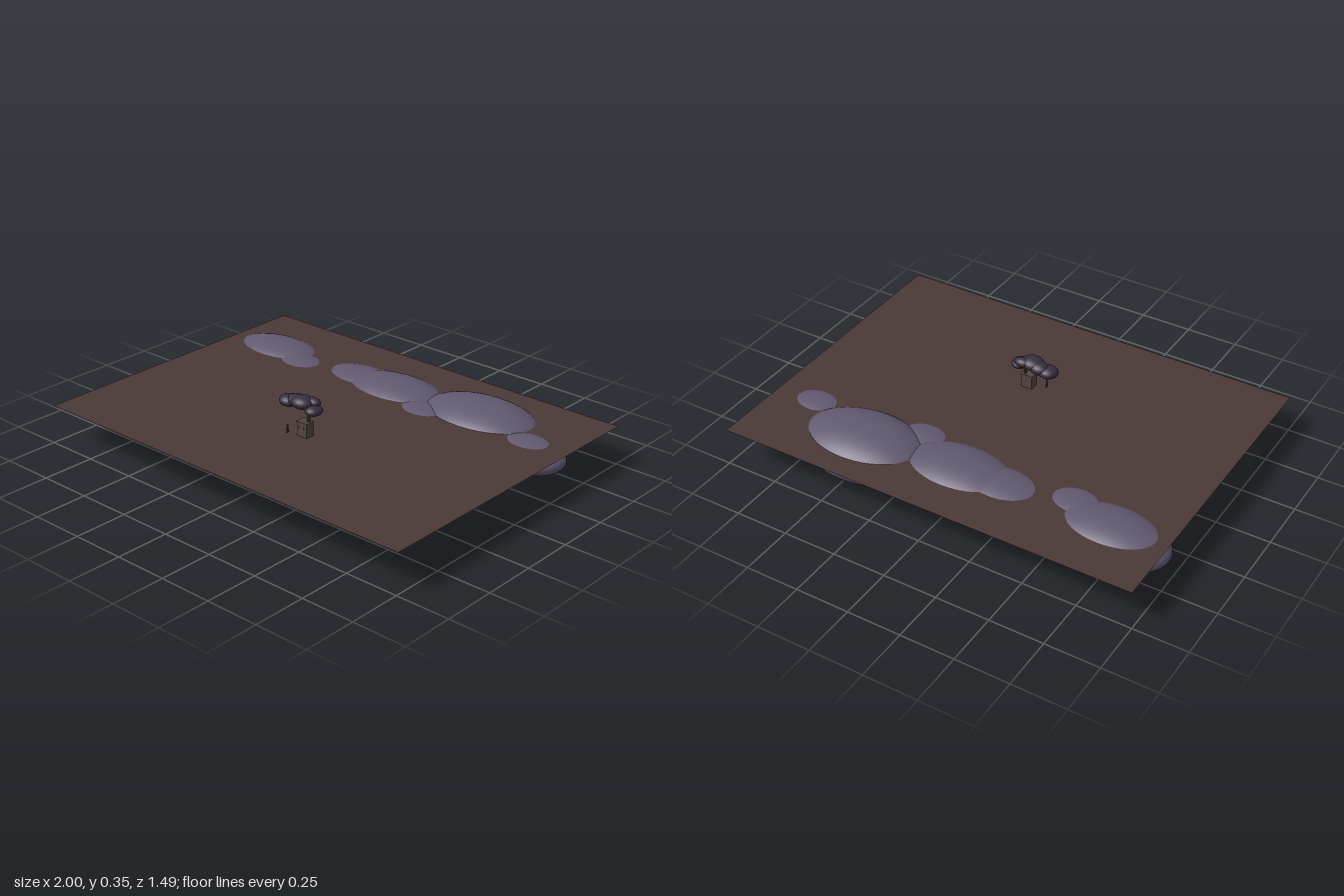
import * as THREE from 'three';

const flat = (name, color, side = THREE.FrontSide) => {
  const m = new THREE.MeshStandardMaterial({ color, side });
  m.name = name;
  return m;
};

export function createModel() {
  const model = new THREE.Group();
  model.name = 'landscape';
  const earth = flat('brown earth', 0x4a3a38, THREE.DoubleSide);
  const haze = flat('purple haze', 0x625970);
  const leaf = flat('dark foliage', 0x352e40);
  const bark = flat('dark bark', 0x30272a);
  const stone = flat('brown stone', 0x54463f);

  const add = (parent, name, geometry, material, x, y, z) => {
    const mesh = new THREE.Mesh(geometry, material);
    mesh.name = name;
    mesh.position.set(x, y, z);
    parent.add(mesh);
    return mesh;
  };
  const group = (name) => {
    const g = new THREE.Group();
    g.name = name;
    model.add(g);
    return g;
  };
  const rod = (parent, name, a, b, r0, r1, material) => {
    const from = new THREE.Vector3(...a), to = new THREE.Vector3(...b);
    const dir = to.clone().sub(from);
    const mesh = add(parent, name, new THREE.CylinderGeometry(r1, r0, dir.length(), 8), material,
      ...from.add(to).multiplyScalar(0.5).toArray());
    mesh.quaternion.setFromUnitVectors(new THREE.Vector3(0, 1, 0), dir.normalize());
  };
  // Rows of blobs: centre x, y, z, then radii x, y, z
  const blobs = (parent, name, rows, material, seg) => {
    const ball = new THREE.SphereGeometry(1, seg, seg / 2);
    for (const [x, y, z, rx, ry, rz] of rows) {
      add(parent, name, ball, material, x, y, z).scale.set(rx, ry, rz);
    }
  };

  // Ground sheet
  const sheet = new THREE.PlaneGeometry(1.99, 1.49);
  sheet.rotateX(-Math.PI / 2);
  add(model, 'ground', sheet, earth, 0.003, 0.183, -0.003);

  // Long bank of rounded hills, cut by the ground
  blobs(group('hills'), 'hill', [
    [-0.73, 0.122, -0.437, 0.27, 0.093, 0.165],
    [-0.53, 0.122, -0.375, 0.183, 0.073, 0.138],
    [-0.21, 0.122, -0.437, 0.235, 0.081, 0.155],
    [0.0, 0.121, -0.435, 0.3, 0.1, 0.184],
    [0.465, 0.12, -0.465, 0.32, 0.118, 0.21],
    [0.245, 0.122, -0.33, 0.182, 0.073, 0.135],
    [0.793, 0.122, -0.367, 0.182, 0.072, 0.132],
  ], haze, 48);

  // Stone plinth with a thin lip and dark panels
  const plinth = group('plinth');
  add(plinth, 'plinthBlock', new THREE.BoxGeometry(0.056, 0.068, 0.044), stone, 0.05, 0.215, 0.222);
  add(plinth, 'plinthLip', new THREE.BoxGeometry(0.06, 0.004, 0.048), stone, 0.05, 0.249, 0.222);
  for (const x of [0.037, 0.063]) {
    add(plinth, 'panel', new THREE.BoxGeometry(0.008, 0.012, 0.002), bark, x, 0.225, 0.2445);
  }

  // Trunk, branches and crown
  const tree = group('tree');
  rod(tree, 'trunk', [0.064, 0.248, 0.216], [0.064, 0.3, 0.212], 0.008, 0.006, bark);
  rod(tree, 'branch', [0.064, 0.285, 0.213], [0.02, 0.315, 0.205], 0.005, 0.004, bark);
  rod(tree, 'branch', [0.064, 0.29, 0.213], [0.085, 0.31, 0.2], 0.005, 0.004, bark);
  blobs(tree, 'crown', [
    [-0.062, 0.309, 0.201, 0.046, 0.027, 0.044],
    [-0.02, 0.318, 0.195, 0.05, 0.028, 0.04],
    [0.02, 0.325, 0.205, 0.055, 0.03, 0.048],
    [0.058, 0.328, 0.182, 0.04, 0.022, 0.027],
    [0.085, 0.304, 0.205, 0.038, 0.022, 0.042],
  ], leaf, 24);

  // Tiny standing figure
  const figure = group('figure');
  for (const z of [0.246, 0.256]) {
    rod(figure, 'leg', [-0.026, 0.183, z], [-0.026, 0.2, 0.251], 0.002, 0.002, bark);
  }
  rod(figure, 'body', [-0.026, 0.198, 0.251], [-0.026, 0.213, 0.252], 0.004, 0.003, bark);
  rod(figure, 'arm', [-0.026, 0.21, 0.252], [-0.026, 0.2, 0.264], 0.0015, 0.0015, bark);
  blobs(figure, 'head', [[-0.026, 0.218, 0.252, 0.004, 0.005, 0.004]], bark, 12);

  return model;
}
